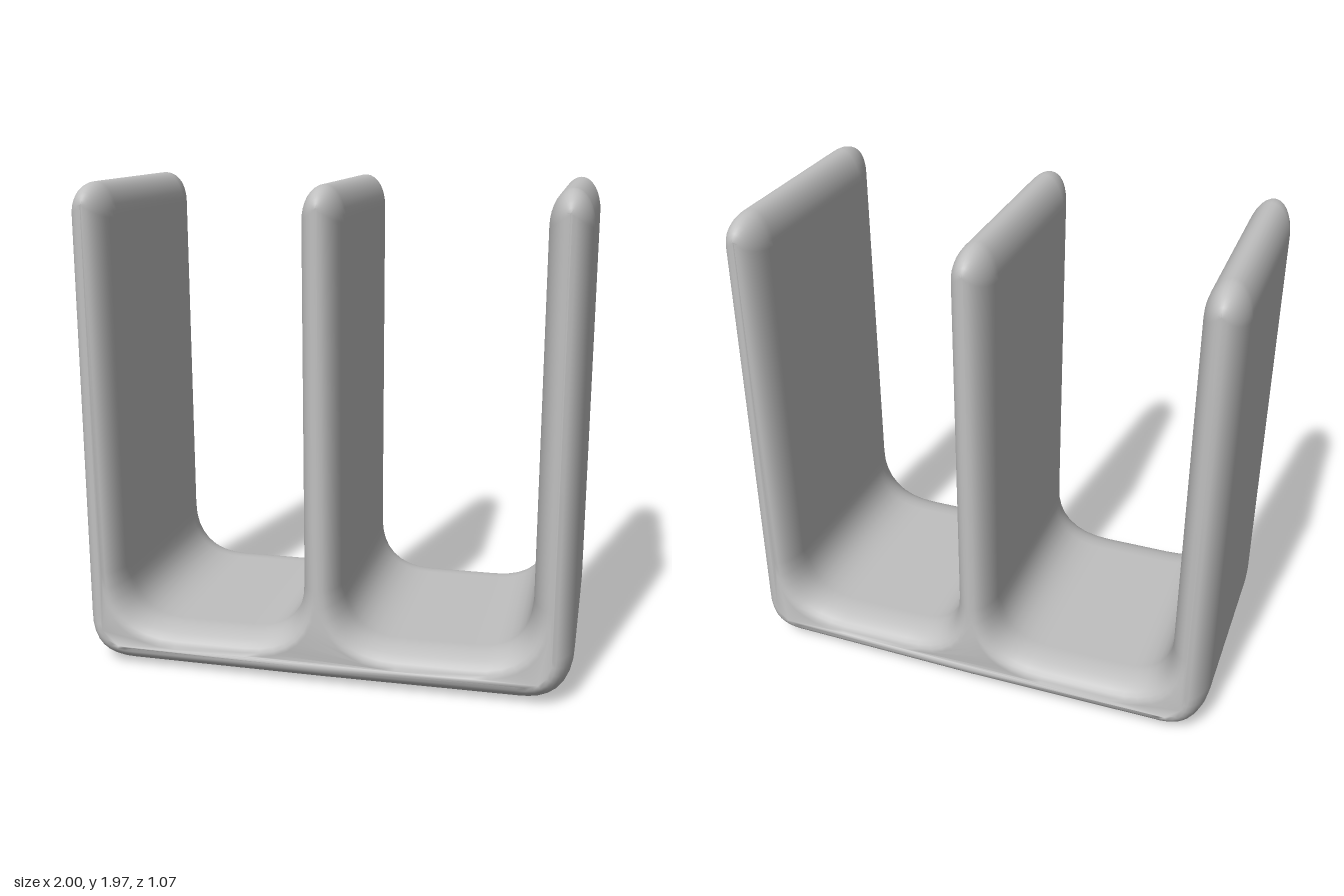
import * as THREE from 'three';

const HALF = 0.0825;   // half thickness of the panels
const HEIGHT = 1.97;
const FLOOR = 0.17;    // top of the base
const WALLS = [0.9175, 0, -0.9175];

// Outline of base and three panels, inset by d, with blended inner corners
function outline(d) {
  const h = HALF - d, floor = FLOOR - d, side = 1 - d;
  const corner = 0.21 - d, fillet = 0.23 + d;
  const tip = 0.14 * h / HALF;
  const p = new THREE.Path();
  p.moveTo(0, d);
  p.lineTo(side - corner, d);
  p.quadraticCurveTo(side, d, side, d + corner);
  WALLS.forEach((x, i) => {
    // blend from the floor up into this panel
    if (i > 0) {
      p.lineTo(x + h + fillet, floor);
      p.quadraticCurveTo(x + h, floor, x + h, floor + fillet);
    }
    // rounded top edge
    p.absellipse(x, HEIGHT - d - tip, h, tip, 0, Math.PI, false, 0);
    // blend from the panel back down to the floor
    if (i < 2) {
      p.lineTo(x - h, floor + fillet);
      p.quadraticCurveTo(x - h, floor, x - h - fillet, floor);
    }
  });
  p.lineTo(-side, d + corner);
  p.quadraticCurveTo(-side, d, -side + corner, d);
  return p.getPoints(8);
}

// Slight swelling of the ends where panels meet the base
function swell(x, y) {
  const near = WALLS.reduce((s, w) => s + Math.exp(-(((x - w) / 0.1) ** 2)), 0);
  return 1 + 0.027 * near * Math.exp(-(((y - 0.12) / 0.12) ** 2));
}

// Stack of outlines from back to front, shrinking towards both rounded ends
function bodyGeometry() {
  const steps = 8, rings = [];
  for (let i = 0; i <= steps; i++) {
    const a = (i / steps) * Math.PI / 2;
    const ring = { z: 0.37 + 0.15 * Math.sin(a), pts: outline(0.078 * (1 - Math.cos(a))) };
    rings.push(ring);
    rings.unshift({ z: -ring.z, pts: ring.pts });
  }
  const n = rings[0].pts.length, pos = [], idx = [];
  for (const { z, pts } of rings)
    for (const p of pts) pos.push(p.x, p.y, z * swell(p.x, p.y));
  for (let j = 0; j < rings.length - 1; j++)
    for (let i = 0; i < n; i++) {
      const k = (i + 1) % n;
      const a = j * n + i, b = j * n + k, c = b + n, d = a + n;
      idx.push(a, b, c, a, c, d);
    }
  // thin end caps
  const last = (rings.length - 1) * n;
  for (const [a, b, c] of THREE.ShapeUtils.triangulateShape(rings[0].pts.slice(), [])) {
    idx.push(last + a, last + b, last + c, a, c, b);
  }
  const g = new THREE.BufferGeometry();
  g.setAttribute('position', new THREE.Float32BufferAttribute(pos, 3));
  g.setIndex(idx);
  g.computeVertexNormals();
  return g;
}

export function createModel() {
  const grey = new THREE.MeshStandardMaterial({ color: 0xc0c0c0 });
  grey.name = 'light grey';
  const body = new THREE.Mesh(bodyGeometry(), grey);
  body.name = 'dividedHolderBody';
  const model = new THREE.Group();
  model.name = 'dividedHolder';
  model.add(body);
  return model;
}
